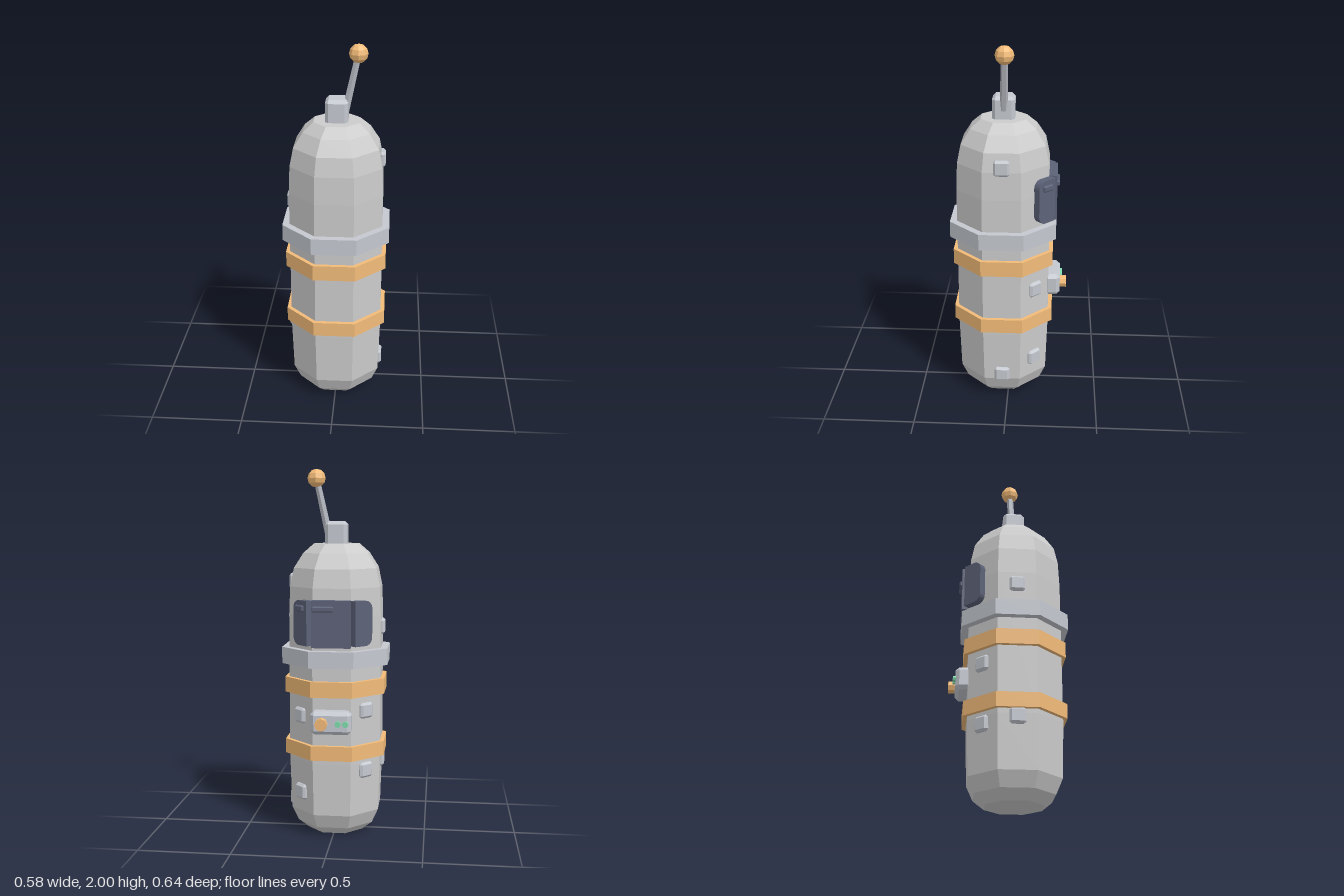
import * as THREE from 'three';
import { ConvexGeometry } from 'three/addons/geometries/ConvexGeometry.js';

const material = (color) => new THREE.MeshStandardMaterial({ color, flatShading: true });
const GREY = material(0xcccccc), STEEL = material(0xc4c8cf), ROD = material(0xb0b4bc);
const ORANGE = material(0xf2bb78), DARK = material(0x5c6278), GREEN = material(0x7fdcae);

const AXIS_Z = 0.03; // the octagonal body stands slightly forward of the origin

function add(parent, name, geometry, mat, x = 0, y = 0, z = 0) {
  const mesh = new THREE.Mesh(geometry, mat);
  mesh.name = name;
  mesh.position.set(x, y, z);
  parent.add(mesh);
  return mesh;
}

// Box with every edge and corner chamfered by c
function chamferBox(w, h, d, c) {
  const points = [];
  const [a, b, e] = [w / 2, h / 2, d / 2];
  for (const sx of [-1, 1]) for (const sy of [-1, 1]) for (const sz of [-1, 1]) {
    points.push(
      new THREE.Vector3(sx * a, sy * (b - c), sz * (e - c)),
      new THREE.Vector3(sx * (a - c), sy * b, sz * (e - c)),
      new THREE.Vector3(sx * (a - c), sy * (b - c), sz * e));
  }
  return new ConvexGeometry(points);
}

// Eight-sided lathe with a flat side facing the front; profile holds [apothem, y]
function octagon(profile) {
  const points = profile.map(([r, y]) => new THREE.Vector2(r / Math.cos(Math.PI / 8), y));
  return new THREE.LatheGeometry(points, 8, Math.PI / 8);
}

// Side panel from local x = 0 to w, with its two far corners rounded
function wingGeometry(w, h, r, depth) {
  const s = new THREE.Shape();
  s.moveTo(0, 0);
  s.lineTo(w - r, 0);
  s.absarc(w - r, r, r, -Math.PI / 2, 0, false);
  s.lineTo(w, h - r);
  s.absarc(w - r, h - r, r, 0, Math.PI / 2, false);
  s.lineTo(0, h);
  s.closePath();
  return new THREE.ExtrudeGeometry(s, { depth, bevelEnabled: false, curveSegments: 4 });
}

export function createModel() {
  const model = new THREE.Group();
  model.name = 'capsule';

  // Body and bands
  const body = [[0, 0], [0.15, 0], [0.207, 0.05], [0.241, 0.13], [0.25, 0.42], [0.25, 1.22],
    [0.244, 1.37], [0.224, 1.47], [0.175, 1.55], [0.12, 1.6], [0, 1.6]];
  add(model, 'body', octagon(body), GREY, 0, 0, AXIS_Z);
  const band = (name, r, y0, y1, mat) =>
    add(model, name, octagon([[0.22, y0], [r, y0], [r, y1], [0.22, y1]]), mat, 0, 0, AXIS_Z);
  band('collar', 0.288, 0.95, 1.04, STEEL);
  band('upperStrap', 0.272, 0.79, 0.875, ORANGE);
  band('lowerStrap', 0.272, 0.445, 0.525, ORANGE);

  // Antenna
  add(model, 'antennaBase', chamferBox(0.12, 0.14, 0.12, 0.018), STEEL, 0, 1.65, AXIS_Z);
  const foot = new THREE.Vector3(0.045, 1.65, 0.028), tip = new THREE.Vector3(0.11, 1.95, 0.02);
  const rod = add(model, 'antennaRod',
    new THREE.CylinderGeometry(0.018, 0.022, foot.distanceTo(tip), 6), ROD);
  rod.position.lerpVectors(foot, tip, 0.5);
  rod.quaternion.setFromUnitVectors(new THREE.Vector3(0, 1, 0), tip.clone().sub(foot).normalize());
  add(model, 'antennaBall', new THREE.SphereGeometry(0.05, 8, 6), ORANGE, tip.x, tip.y, tip.z);

  // Groups for the octagon's sides: local +z points outward
  const side = (name, eighths) => {
    const group = new THREE.Group();
    group.name = name;
    group.position.z = AXIS_Z;
    group.rotation.y = eighths * Math.PI / 4;
    model.add(group);
    return group;
  };
  const left = side('leftSide', 2), backLeft = side('backLeftSide', 3), back = side('backSide', 4);
  const backRight = side('backRightSide', 5), right = side('rightSide', 6);

  // Square studs
  const stud = chamferBox(0.085, 0.085, 0.036, 0.012);
  const studs = [[left, 0.165, 0.242], [left, 1.395, 0.242], [backLeft, 0.245, 0.247], [backLeft, 0.675, 0.25],
    [backRight, 0.38, 0.25], [backRight, 0.71, 0.25], [right, 0.405, 0.25], [right, 1.15, 0.25]];
  for (const [group, y, z] of studs) add(group, 'stud', stud, STEEL, 0, y, z);

  // Dark panel wrapped over three back sides
  add(back, 'backPanel', new THREE.BoxGeometry(0.207, 0.25, 0.05), DARK, 0, 1.185, 0.265);
  add(back, 'panelHandle', chamferBox(0.115, 0.03, 0.03, 0.006), DARK, -0.043, 1.265, 0.288);
  const wing = wingGeometry(0.115, 0.24, 0.045, 0.05);
  add(backRight, 'rightPanelWing', wing, DARK, -0.105, 1.067, 0.239);
  const leftWing = add(backLeft, 'leftPanelWing', wing, DARK, 0.105, 1.067, 0.289);
  leftWing.rotation.y = Math.PI;
  add(backLeft, 'wingButton', chamferBox(0.064, 0.034, 0.03, 0.006), DARK, 0.05, 1.265, 0.287);

  // Control box with knob and lights
  add(back, 'controlBox', chamferBox(0.22, 0.125, 0.085, 0.02), STEEL, 0, 0.66, 0.272);
  const dial = (name, r, depth, x, mat) => {
    const geometry = new THREE.CylinderGeometry(r, r, depth, 8);
    add(back, name, geometry.rotateX(Math.PI / 2), mat, x, 0.66, 0.312 + depth / 2);
  };
  dial('knob', 0.034, 0.038, -0.047, ORANGE);
  dial('light', 0.017, 0.016, 0.041, GREEN);
  dial('light', 0.017, 0.016, 0.081, GREEN);

  return model;
}
